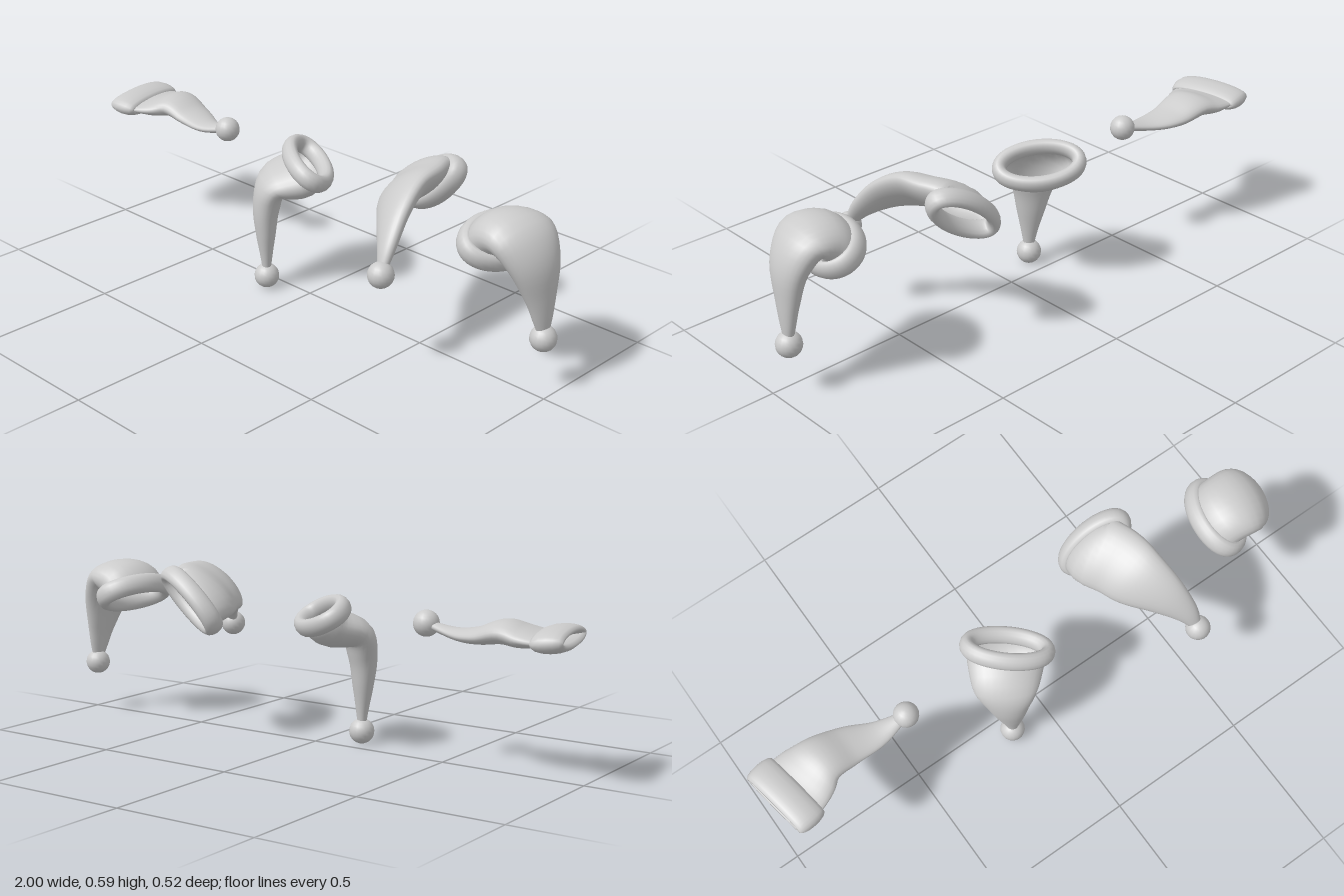
import * as THREE from 'three';

const vec = (a) => new THREE.Vector3(...a);

// Smooth grid surface; columns always close, rows close when asked
function gridGeometry(rows, cols, closeRows, point) {
  const positions = [], index = [];
  for (let i = 0; i < rows; i++)
    for (let j = 0; j < cols; j++) positions.push(...point(i, j).toArray());
  const quads = closeRows ? rows : rows - 1;
  for (let i = 0; i < quads; i++)
    for (let j = 0; j < cols; j++) {
      const n = (i + 1) % rows, m = (j + 1) % cols;
      const a = i * cols + j, b = i * cols + m, c = n * cols + m, d = n * cols + j;
      index.push(a, b, c, a, c, d);
    }
  const g = new THREE.BufferGeometry();
  g.setAttribute('position', new THREE.Float32BufferAttribute(positions, 3));
  g.setIndex(index);
  g.computeVertexNormals();
  return g;
}

// Oval band of rolled fabric around the opening
function brimGeometry({ center, u, v, n, halfU, halfV, height, thick }) {
  const rows = 40, cols = 14;
  return gridGeometry(rows, cols, true, (i, j) => {
    const a = (i / rows) * Math.PI * 2, p = (j / cols) * Math.PI * 2;
    const radial = u.clone().multiplyScalar(Math.cos(a) / halfU)
      .addScaledVector(v, Math.sin(a) / halfV).normalize();
    return center.clone()
      .addScaledVector(u, Math.cos(a) * halfU)
      .addScaledVector(v, Math.sin(a) * halfV)
      .addScaledVector(radial, Math.cos(p) * thick)
      .addScaledVector(n, -Math.sin(p) * height);
  });
}

// Flattened cone swept along a drooping path
function clothGeometry(path, sizes, wide) {
  const rows = 30, cols = 28;
  const curve = new THREE.CatmullRomCurve3(path, false, 'centripetal');
  const widths = new THREE.CatmullRomCurve3(sizes, false, 'catmullrom');
  return gridGeometry(rows, cols, false, (i, j) => {
    const s = i / (rows - 1), a = (j / cols) * Math.PI * 2;
    const t = curve.getTangent(s), size = widths.getPoint(s);
    const w = wide.clone().addScaledVector(t, -wide.dot(t)).normalize();
    const b = t.clone().cross(w);
    return curve.getPoint(s)
      .addScaledVector(w, Math.cos(a) * size.x)
      .addScaledVector(b, Math.sin(a) * size.y);
  });
}

// opening: direction the mouth faces; wide: long axis of the mouth
// path rows: x, y, z, half width, half thickness
const hats = [
  {
    name: 'flatHat', center: [-0.93, 0.458, -0.06], opening: [-0.98, 0.08, 0.17], wide: [0.17, 0, 0.98],
    halfU: 0.122, halfV: 0.022, height: 0.052, thick: 0.018, pom: [-0.47, 0.46, -0.06],
    path: [
      [-0.83, 0.458, -0.08, 0.108, 0.033], [-0.77, 0.468, -0.09, 0.085, 0.038],
      [-0.68, 0.447, -0.085, 0.07, 0.027], [-0.58, 0.44, -0.065, 0.045, 0.018],
    ],
  },
  {
    name: 'upturnedHat', center: [-0.07, 0.447, -0.06], opening: [0.4, 0.84, -0.36], wide: [0.74, -0.15, 0.64],
    halfU: 0.135, halfV: 0.072, height: 0.032, thick: 0.024, pom: [-0.145, 0.043, 0.066],
    path: [
      [-0.143, 0.38, 0.033, 0.108, 0.052], [-0.153, 0.3, 0.057, 0.073, 0.046],
      [-0.15, 0.2, 0.064, 0.048, 0.034], [-0.146, 0.11, 0.066, 0.026, 0.02],
    ],
  },
  {
    name: 'archedHat', center: [0.38, 0.475, -0.19], opening: [0.42, -0.47, -0.78], wide: [0.8, 0.6, 0.07],
    halfU: 0.13, halfV: 0.06, height: 0.034, thick: 0.022, pom: [0.52, 0.33, 0.217],
    path: [
      [0.39, 0.505, -0.08, 0.122, 0.05], [0.412, 0.502, 0, 0.112, 0.045],
      [0.455, 0.468, 0.09, 0.08, 0.036], [0.5, 0.4, 0.17, 0.042, 0.025],
    ],
  },
  {
    name: 'foldedHat', center: [0.775, 0.45, -0.035], opening: [-0.5, -0.85, -0.13], wide: [-0.22, 0, 0.97],
    halfU: 0.125, halfV: 0.08, height: 0.036, thick: 0.024, pom: [0.955, 0.178, -0.04],
    path: [
      [0.865, 0.497, -0.02, 0.122, 0.062], [0.918, 0.43, -0.02, 0.095, 0.052],
      [0.942, 0.32, -0.03, 0.057, 0.034], [0.951, 0.24, -0.036, 0.034, 0.022],
    ],
  },
];

function buildHat(h, material, clothMaterial) {
  const group = new THREE.Group();
  group.name = h.name;
  const add = (name, geometry, mat) => {
    const mesh = new THREE.Mesh(geometry, mat);
    mesh.name = name;
    group.add(mesh);
    return mesh;
  };
  const center = vec(h.center), n = vec(h.opening).normalize();
  const u = vec(h.wide);
  u.addScaledVector(n, -u.dot(n)).normalize();
  const v = n.clone().cross(u);
  add('brim', brimGeometry({ ...h, center, u, v, n }), material);

  // Cloth leaves the mouth squarely, then follows the path to the pompom
  const path = [center, center.clone().addScaledVector(n, -0.04),
    ...h.path.map((p) => vec(p.slice(0, 3))), vec(h.pom)];
  const sizes = [[h.halfU, h.halfV, 0], [h.halfU * 0.97, h.halfV * 0.97, 0],
    ...h.path.map((p) => [p[3], p[4], 0]), [0.014, 0.012, 0]].map(vec);
  add('cloth', clothGeometry(path, sizes, u), clothMaterial);

  add('pompom', new THREE.SphereGeometry(0.043, 18, 12), material).position.copy(vec(h.pom));
  return group;
}

export function createModel() {
  const model = new THREE.Group();
  model.name = 'pompomHats';
  const material = new THREE.MeshStandardMaterial({ color: 0xcccccc });
  const clothMaterial = new THREE.MeshStandardMaterial({ color: 0xcccccc, side: THREE.DoubleSide });
  for (const h of hats) model.add(buildHat(h, material, clothMaterial));
  return model;
}
